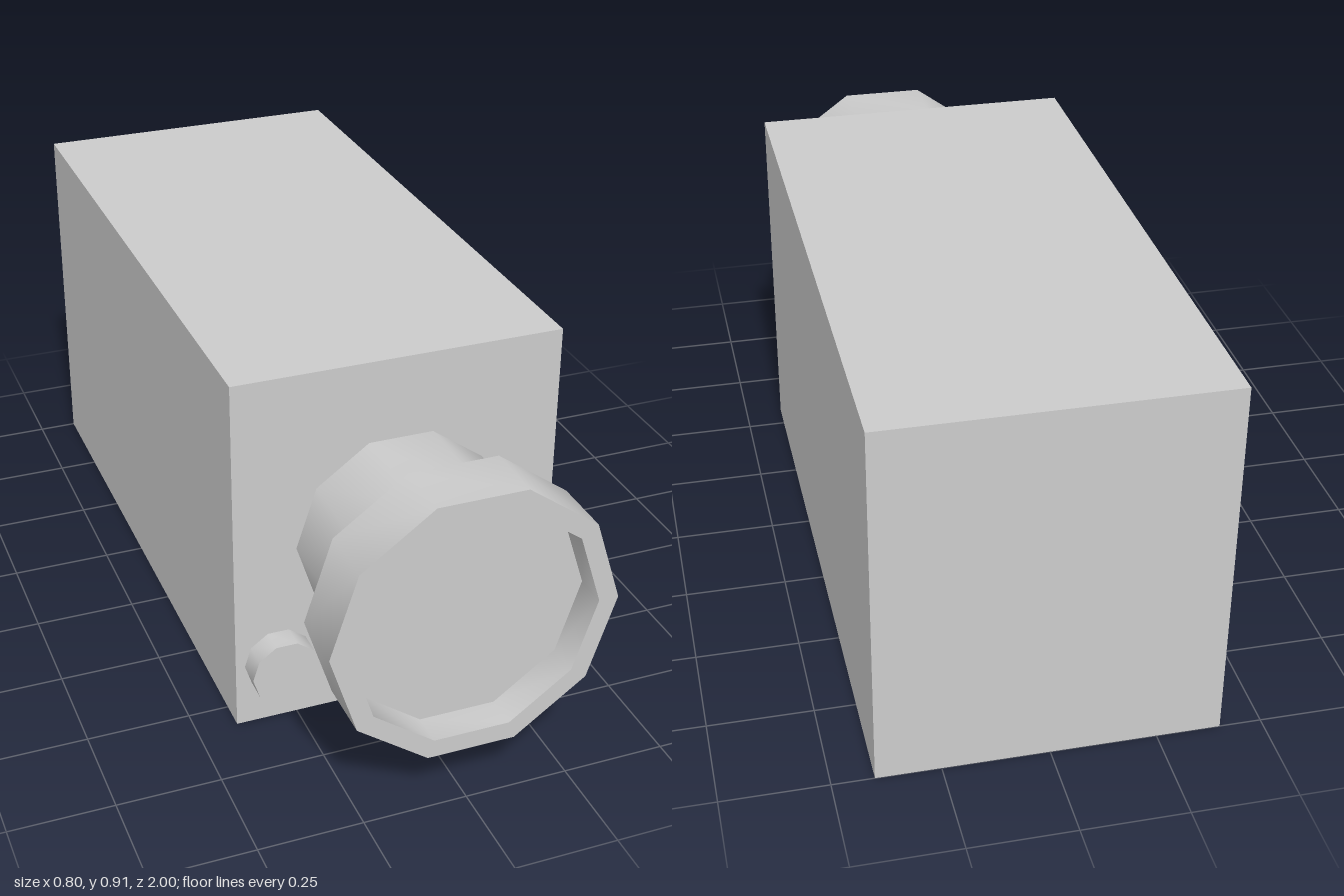
import * as THREE from 'three';
import { toCreasedNormals } from 'three/addons/utils/BufferGeometryUtils.js';

const material = new THREE.MeshStandardMaterial({ color: 0xcccccc });
const FRONT = 0.57; // z of the body's front face

// Ten-sided turned part along +z from a [radius, z] profile, smooth around and sharp at the rims
function turned(name, profile, x, y) {
  const points = profile.map(([r, z]) => new THREE.Vector2(r, z));
  const lathe = new THREE.LatheGeometry(points, 10, Math.PI / 2).rotateX(Math.PI / 2);
  const mesh = new THREE.Mesh(toCreasedNormals(lathe, THREE.MathUtils.degToRad(45)), material);
  mesh.name = name;
  mesh.position.set(x, y, 0);
  return mesh;
}

export function createModel() {
  const group = new THREE.Group();
  group.name = 'boxCamera';

  // Long box body
  const body = new THREE.Mesh(new THREE.BoxGeometry(0.803, 0.91, FRONT + 1), material);
  body.name = 'body';
  body.position.set(0, 0.455, (FRONT - 1) / 2);
  group.add(body);

  // Lens: narrow barrel, wide hood, recessed front glass
  group.add(turned('lens', [
    [0.255, FRONT], [0.255, 0.85],
    [0.341, 0.85], [0.341, 1],
    [0.294, 1], [0.294, 0.92],
    [0, 0.92],
  ], 0.006, 0.463));

  // Small round knob in the lower corner of the front
  group.add(turned('knob', [[0.084, FRONT], [0.084, 0.63], [0, 0.63]], -0.295, 0.162));

  return group;
}
